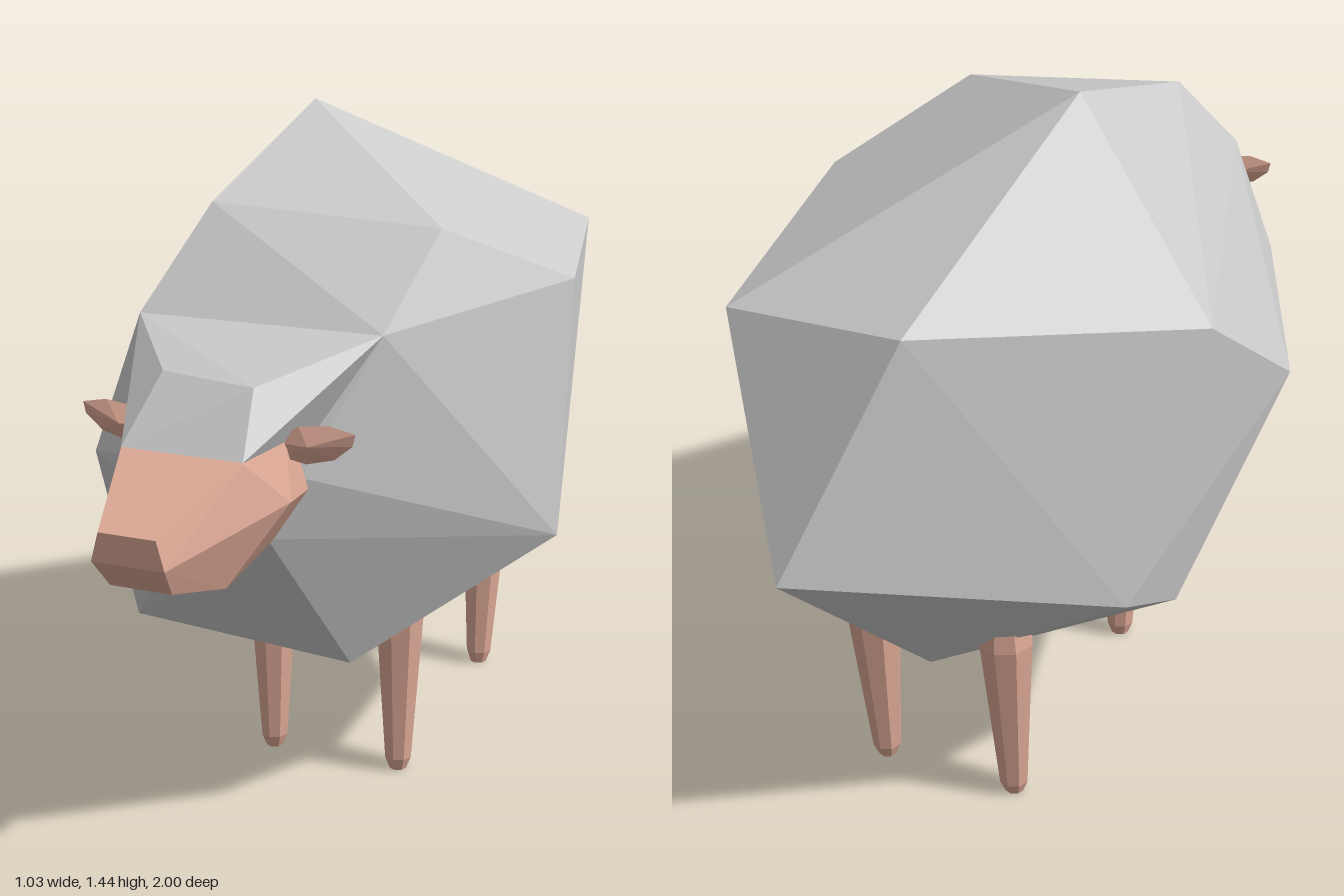
import * as THREE from 'three';
import { ConvexGeometry } from 'three/addons/geometries/ConvexGeometry.js';

const wool = new THREE.MeshStandardMaterial({ color: 0xcccccc, flatShading: true });
const skin = new THREE.MeshStandardMaterial({ color: 0xe0ab98, flatShading: true });

// faceted solid spanned by a handful of corner points
function facets(name, points, material) {
  const geometry = new ConvexGeometry(points.map((p) => new THREE.Vector3(...p)));
  const mesh = new THREE.Mesh(geometry, material);
  mesh.name = name;
  return mesh;
}

// left and right copies of [halfWidth, y, z] rows about the head's centre line
const HEAD_X = 0.02;
const mirrored = (rows) => rows.flatMap(([w, y, z]) => [[HEAD_X + w, y, z], [HEAD_X - w, y, z]]);

// tapered leg with a small blunt foot and a closed top
function leg(name, x, z, height, lean) {
  const profile = [[0, 0], [0.02, 0], [0.031, 0.03], [0.057, height - 0.1], [0.05, height - 0.05], [0, height]];
  const geometry = new THREE.LatheGeometry(profile.map((p) => new THREE.Vector2(...p)), 8);
  const pos = geometry.attributes.position;
  for (let i = 0; i < pos.count; i++) pos.setZ(i, pos.getZ(i) - lean * pos.getY(i) / height);
  const mesh = new THREE.Mesh(geometry, skin);
  mesh.name = name;
  mesh.position.set(x, 0, z);
  return mesh;
}

// leaf-shaped ear: flat outline with a thick middle
function ear(name, side) {
  const outline = [[0.11, 0.95], [0.165, 0.985], [0.225, 0.993], [0.275, 0.983], [0.27, 0.96], [0.235, 0.93], [0.18, 0.915], [0.14, 0.922]];
  const points = outline.map(([x, y]) => [HEAD_X + side * x, y, 0.64]);
  for (const z of [0.62, 0.66]) points.push([HEAD_X + side * 0.19, 0.955, z]);
  return facets(name, points, skin);
}

export function createModel() {
  const model = new THREE.Group();
  model.name = 'sheep';

  // woolly body
  const browRight = [-0.23, 1.11, 0.445];
  const browLeft = [0.27, 1.11, 0.43];
  model.add(facets('body', [
    // back
    [-0.13, 1.44, -0.22], [0.305, 1.27, 0.2], [-0.157, 1.3, 0.26],
    // flanks
    [0.507, 1.13, -0.06], [0.515, 0.6, 0.03], [-0.52, 0.825, -0.03], [-0.48, 1.11, -0.43],
    // rump
    [0.125, 0.74, -1], [-0.045, 1.18, -0.81], [0.37, 1.117, -0.715], [-0.39, 0.58, -0.605],
    // belly
    [0.378, 0.447, -0.37], [0.03, 0.327, -0.61], [-0.397, 0.425, -0.34], [0.16, 0.367, 0.31],
    // chest and neck
    [-0.256, 0.467, 0.445], [-0.305, 0.836, 0.51], browRight, browLeft,
    [0.1, 0.735, 0.59], [-0.07, 0.735, 0.59], [0.16, 0.86, 0.57], [-0.14, 0.86, 0.57],
  ], wool));

  // wool running over the crown of the head
  model.add(facets('forelock', [
    browRight, browLeft, [-0.08, 1.065, 0.65], [0.12, 1.065, 0.69],
    ...mirrored([[0.12, 0.957, 0.785], [0.135, 1.0, 0.63], [0.13, 0.9, 0.54]]),
  ], wool));

  // head, from the back of the cheeks to the nose
  model.add(facets('head', mirrored([
    [0.125, 1.01, 0.61], [0.12, 0.955, 0.785], [0.055, 0.88, 1],
    [0.07, 0.825, 1], [0.06, 0.765, 0.955], [0.09, 0.72, 0.8],
    [0.09, 0.735, 0.59], [0.17, 0.857, 0.69], [0.155, 0.84, 0.57],
  ]), skin));

  model.add(ear('leftEar', 1), ear('rightEar', -1));

  // legs
  for (const [side, x] of [['Left', 0.175], ['Right', -0.125]]) {
    model.add(leg(`front${side}Leg`, x, 0.05, 0.5, 0));
    model.add(leg(`rear${side}Leg`, x, -0.55, 0.51, 0.035));
  }
  return model;
}
